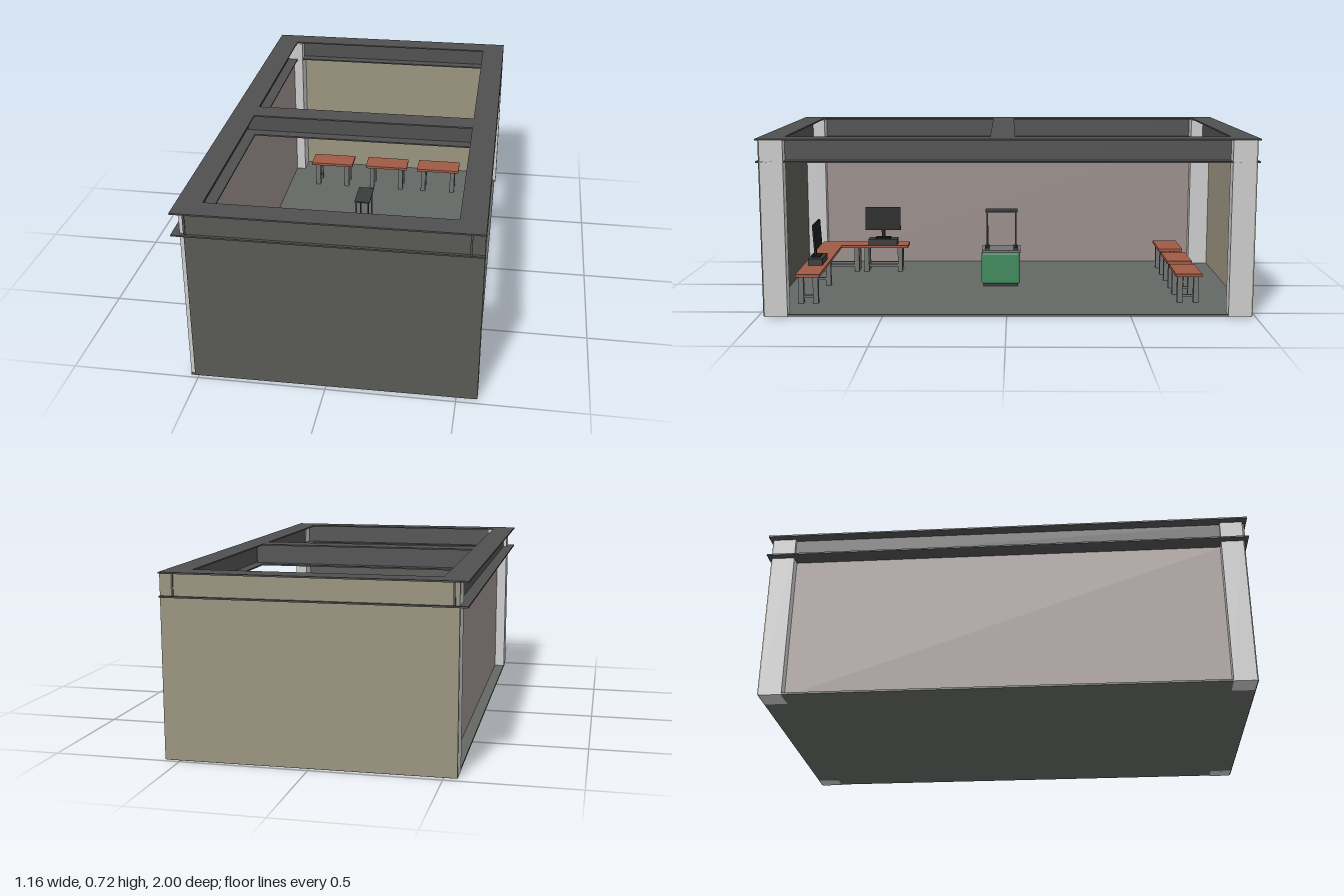
import * as THREE from 'three';
import { RoundedBoxGeometry } from 'three/addons/geometries/RoundedBoxGeometry.js';

const mat = (color) => new THREE.MeshStandardMaterial({ color });
const M = {
  column: mat(0xcccccc), steel: mat(0x505050), floor: mat(0x646864),
  front: mat(0x585854), back: mat(0x9a937f), side: mat(0x9a8f8d),
  wood: mat(0xa05a45), leg: mat(0x707472), black: mat(0x1c1c1e),
  dark: mat(0x3a3c3c), green: mat(0x3f8a5c),
};

// Box given by its min and max on each axis
function box(parent, name, m, x0, x1, y0, y1, z0, z1) {
  const mesh = new THREE.Mesh(new THREE.BoxGeometry(x1 - x0, y1 - y0, z1 - z0), m);
  mesh.position.set((x0 + x1) / 2, (y0 + y1) / 2, (z0 + z1) / 2);
  mesh.name = name;
  parent.add(mesh);
  return mesh;
}

function group(parent, name) {
  const g = new THREE.Group();
  g.name = name;
  parent.add(g);
  return g;
}

const FLOOR = 0.008, LOW = 0.622, TOP = 0.717, T = 0.006;

// I-beam running along z or x: two flanges and a web
function beam(parent, name, along, centre, half, x = 0) {
  const g = group(parent, name);
  const w = 0.05;
  const part = (n, r, y0, y1, len) => along === 'z'
    ? box(g, n, M.steel, centre - r, centre + r, y0, y1, -len, len)
    : box(g, n, M.steel, x - len, x + len, y0, y1, centre - r, centre + r);
  part('topFlange', w, TOP - T, TOP, half);
  part('bottomFlange', w, LOW, LOW + T, half);
  part('web', 0.004, LOW + T, TOP - T, along === 'z' ? half - 0.008 : half + 0.04);
}

// Table frame: legs at the corners with low rails between the pairs
function legs(parent, x0, x1, z0, z1, y1) {
  const s = 0.022;
  for (const x of [x0, x1 - s]) {
    for (const z of [z0, z1 - s]) box(parent, 'leg', M.leg, x, x + s, FLOOR, y1, z, z + s);
    box(parent, 'footRail', M.leg, x + 0.006, x + 0.016, 0.03, 0.042, z0 + s, z1 - s);
  }
}

function bench(parent, x0, x1) {
  const g = group(parent, 'bench');
  box(g, 'benchTop', M.wood, x0, x1, 0.122, 0.134, -0.81, -0.7);
  legs(g, x0 + 0.02, x1 - 0.02, -0.8, -0.71, 0.122);
}

// Computer: flat case, stand and a slightly tilted screen
function computer(parent, x, z, turn) {
  const g = group(parent, 'computer');
  box(g, 'case', M.dark, -0.068, 0.068, 0, 0.028, -0.031, 0.031);
  box(g, 'stand', M.black, -0.008, 0.008, 0.028, 0.1, -0.014, -0.004);
  box(g, 'standFoot', M.black, -0.035, 0.035, 0.028, 0.034, -0.022, 0.016);
  const s = box(g, 'screen', M.black, -0.083, 0.083, 0.068, 0.178, -0.004, 0.004);
  s.rotation.x = -0.06;
  g.position.set(x, 0.134, z);
  g.rotation.y = turn;
}

export function createModel() {
  const root = new THREE.Group();
  root.name = 'workshopRoom';
  const room = group(root, 'room');
  room.rotation.y = 0.01;

  // Floor and three walls; the left side is open
  box(room, 'floor', M.floor, -0.54, 0.565, 0, FLOOR, -0.98, 0.98);
  box(room, 'frontWall', M.front, -0.525, 0.57, 0.003, TOP - T, 0.974, 0.982);
  box(room, 'backWall', M.back, -0.54, 0.57, 0.003, TOP - T, -0.982, -0.974);
  box(room, 'sideWall', M.side, -0.496, -0.488, FLOOR, LOW, -0.89, 0.89);

  // Corner columns
  for (const s of [-1, 1]) {
    const z0 = s > 0 ? 0.885 : -0.976, z1 = s > 0 ? 0.976 : -0.885;
    box(room, 'rightColumn', M.column, -0.541, -0.445, -0.0005 + 0.0005, TOP - T, z0, z1);
    box(room, 'leftColumn', M.column, 0.515, 0.571, 0, TOP - T, z0, z1);
    box(room, 'columnFoot', M.column, 0.5, 0.571, -0.0005, 0.004, z0, z1);
    box(room, 'columnFoot', M.column, -0.541, -0.445, -0.0005, 0.004, z0, z1);
  }

  // Roof frame
  for (const s of [-1, 1]) {
    beam(room, 'longBeam', 'z', s * 0.521, 0.994);
    beam(room, 'endBeam', 'x', s * 0.944, 0.471);
  }
  beam(room, 'middleBeam', 'x', 0.021, 0.471);

  // Corner desk
  const desk = group(room, 'cornerDesk');
  box(desk, 'deskTop', M.wood, -0.342, 0.392, 0.122, 0.134, 0.785, 0.886);
  box(desk, 'deskReturn', M.wood, -0.342, -0.24, 0.122, 0.134, 0.472, 0.785);
  legs(desk, -0.33, -0.25, 0.5, 0.68, 0.122);
  legs(desk, -0.33, -0.25, 0.705, 0.872, 0.122);
  legs(desk, 0.02, 0.38, 0.793, 0.876, 0.122);
  computer(desk, -0.282, 0.592, Math.PI / 2);
  computer(desk, 0.139, 0.833, Math.PI);

  // Benches along the back wall
  for (const x of [-0.372, -0.092, 0.173]) bench(room, x, x + 0.21);

  // Cabinet with an overhead plate on posts
  const cab = group(room, 'cabinet');
  const body = new THREE.Mesh(new RoundedBoxGeometry(0.12, 0.145, 0.172, 2, 0.012), M.green);
  body.position.set(0.004, 0.09, 0.032);
  body.name = 'cabinetBody';
  cab.add(body);
  box(cab, 'plinth', M.dark, -0.045, 0.053, 0.002, 0.03, -0.045, 0.11);
  box(cab, 'worktop', M.leg, -0.06, 0.068, 0.16, 0.172, -0.056, 0.116);
  box(cab, 'overheadPlate', M.dark, -0.03, 0.038, 0.339, 0.345, -0.042, 0.1);
  for (const x of [-0.022, 0.03]) for (const z of [-0.034, 0.092]) {
    box(cab, 'post', M.dark, x - 0.003, x + 0.003, 0.172, 0.339, z - 0.003, z + 0.003);
    box(cab, 'postFoot', M.dark, x - 0.01, x + 0.01, 0.172, 0.18, z - 0.01, z + 0.01);
  }
  return root;
}
